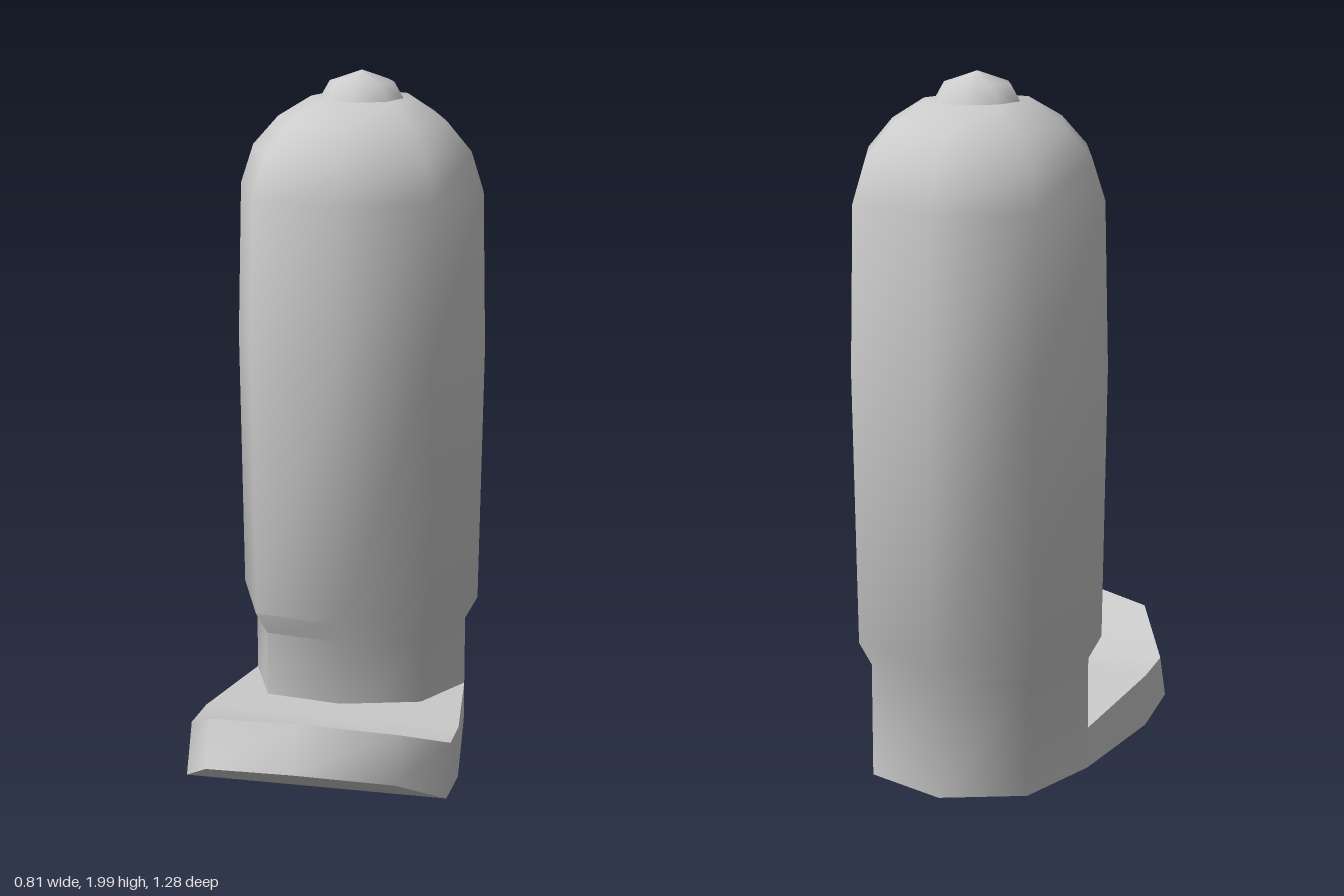
import * as THREE from 'three';
import { toCreasedNormals } from 'three/addons/utils/BufferGeometryUtils.js';

const material = new THREE.MeshStandardMaterial({ color: 0xcccccc });

// Joins equal-length rings from bottom to top and closes both ends.
// Rings run from +x towards +z; end i is paired with end n-1-i across the cap.
function loft(rings, crease) {
  const n = rings[0].length;
  const index = [];
  for (let r = 0; r < rings.length - 1; r++) {
    for (let i = 0; i < n; i++) {
      const j = (i + 1) % n;
      const a = r * n + i, b = r * n + j;
      index.push(a, a + n, b, a + n, b + n, b);
    }
  }
  const top = (rings.length - 1) * n;
  for (let i = 0; i < Math.floor(n / 2); i++) {
    const l = n - 1 - i;
    const tris = [[i, l, i + 1], [i + 1, l, l - 1]];
    for (const [a, b, c] of tris) {
      if (a === b || b === c || a === c) continue;
      index.push(top + a, top + b, top + c, a, c, b);
    }
  }
  const geometry = new THREE.BufferGeometry();
  geometry.setAttribute('position', new THREE.Float32BufferAttribute(rings.flat(2), 3));
  geometry.setIndex(index);
  return toCreasedNormals(geometry, crease);
}

function addMesh(group, name, geometry) {
  const mesh = new THREE.Mesh(geometry, material);
  mesh.name = name;
  group.add(mesh);
  return mesh;
}

export function createModel() {
  const group = new THREE.Group();
  group.name = 'footedPost';

  // Slightly irregular eight-sided column: [x, z] around its axis
  const cx = 0.03, cz = -0.28;
  const section = [
    [0.37, 0.065], [0.24, 0.3], [-0.03, 0.37], [-0.29, 0.305],
    [-0.375, 0], [-0.24, -0.28], [0.03, -0.365], [0.29, -0.23],
  ];
  // [height, scale]: narrow ankle, swelling leg, rounded shoulder
  const profile = [
    [0.02, 0.87], [0.35, 0.87], [0.42, 0.97], [1.2, 1], [1.66, 0.97],
    [1.775, 0.87], [1.86, 0.67], [1.92, 0.41],
  ];
  const rings = profile.map(([y, s]) => section.map(([x, z]) => [cx + x * s, y, cz + z * s]));
  addMesh(group, 'leg', loft(rings, 1.1));

  // Low domed knob on top
  const knobProfile = [[0.125, 1.915], [0.095, 1.967], [0, 2]].map(([r, y]) => new THREE.Vector2(r, y));
  const knob = addMesh(group, 'knob', new THREE.LatheGeometry(knobProfile, 8));
  knob.position.set(0.027, 0, -0.268);
  knob.rotation.y = -0.05;

  // Foot: flat sole and upper with an upturned toe
  const sole = [
    [0.352, 0.02, -0.223], [0.37, 0.008, 0.19], [0.355, 0.03, 0.4], [0.225, 0.14, 0.58],
    [-0.05, 0.18, 0.64],
    [-0.31, 0.14, 0.535], [-0.405, 0.03, 0.33], [-0.385, 0.008, 0.12], [-0.296, 0.02, -0.28],
  ];
  const upper = [
    [0.352, 0.14, -0.223], [0.37, 0.163, 0.19], [0.36, 0.175, 0.34], [0.23, 0.265, 0.52],
    [-0.045, 0.305, 0.575],
    [-0.31, 0.265, 0.47], [-0.4, 0.17, 0.27], [-0.385, 0.165, 0.12], [-0.296, 0.14, -0.28],
  ];
  addMesh(group, 'foot', loft([sole, upper], 0.8));

  return group;
}
